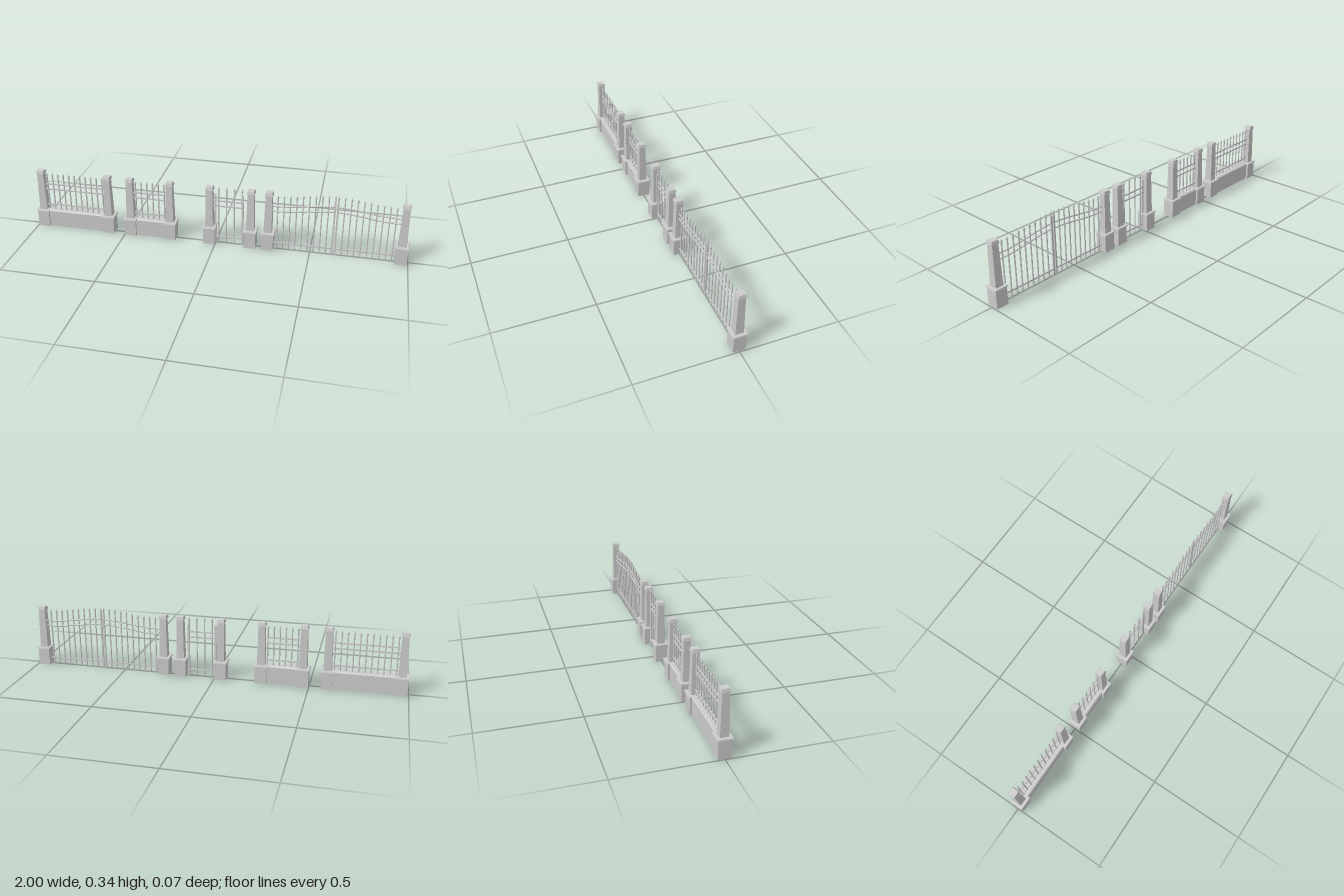
import * as THREE from 'three';

const stone = new THREE.MeshStandardMaterial({ color: 0xcccccc, flatShading: true });
const iron = new THREE.MeshStandardMaterial({ color: 0xcccccc, flatShading: true });

function add(parent, name, geometry, material, x = 0, y = 0, z = 0) {
  const mesh = new THREE.Mesh(geometry, material);
  mesh.name = name;
  mesh.position.set(x, y, z);
  parent.add(mesh);
}

function group(parent, name) {
  const g = new THREE.Group();
  g.name = name;
  parent.add(g);
  return g;
}

// Square block tapering from half width a at y0 to half width b at y1
function taper(parent, name, a, b, y0, y1) {
  const geo = new THREE.CylinderGeometry(b * Math.SQRT2, a * Math.SQRT2, y1 - y0, 4);
  geo.rotateY(Math.PI / 4);
  add(parent, name, geo, stone, 0, (y0 + y1) / 2);
}

// Stone post: plinth, bevelled ledge, tapered shaft and cap
function pillar(parent, x) {
  const g = group(parent, 'pillar');
  g.position.x = x;
  taper(g, 'plinth', 0.031, 0.031, 0, 0.093);
  taper(g, 'ledge', 0.037, 0.035, 0.093, 0.099);
  taper(g, 'shaft', 0.021, 0.017, 0.099, 0.311);
  taper(g, 'cap', 0.0215, 0.0172, 0.311, 0.327);
}

// Round upright with a spear head
function bar(parent, x, bottom, top) {
  const neck = top - 0.014;
  add(parent, 'bar', new THREE.CylinderGeometry(0.0038, 0.0038, neck - bottom, 6), iron, x, (neck + bottom) / 2);
  const spear = [[0, 0], [0.004, 0], [0.0065, 0.004], [0.0015, 0.016], [0, 0.017]].map(p => new THREE.Vector2(...p));
  add(parent, 'spearHead', new THREE.LatheGeometry(spear, 6), iron, x, top - 0.017);
}

function rail(parent, x0, x1, y) {
  add(parent, 'rail', new THREE.BoxGeometry(x1 - x0, 0.007, 0.007), iron, (x0 + x1) / 2, y);
}

function stile(parent, x, top) {
  add(parent, 'stile', new THREE.BoxGeometry(0.009, top, 0.008), iron, x, top / 2);
}

// Two pillars, a low coped wall and iron railings on top
function fence(parent, x0, x1, count) {
  const g = group(parent, 'fencePanel');
  pillar(g, x0);
  pillar(g, x1);
  const mid = (x0 + x1) / 2, length = x1 - x0;
  add(g, 'lowWall', new THREE.BoxGeometry(length - 0.05, 0.093, 0.04), stone, mid, 0.0465);
  const coping = new THREE.Shape([[-0.024, 0], [0.024, 0], [0.019, 0.006], [-0.019, 0.006]].map(p => new THREE.Vector2(...p)));
  const geo = new THREE.ExtrudeGeometry(coping, { depth: length - 0.05, bevelEnabled: false });
  geo.translate(0, 0, -(length - 0.05) / 2).rotateY(Math.PI / 2);
  add(g, 'coping', geo, stone, mid, 0.093);
  for (const y of [0.125, 0.217, 0.247]) rail(g, x0 + 0.014, x1 - 0.014, y);
  const first = x0 + 0.031, step = (length - 0.062) / (count - 1);
  for (let i = 0; i < count; i++) bar(g, first + i * step, 0.095, 0.313);
}

// Single-leaf gate between two pillars
function smallGate(parent, x0, x1) {
  const g = group(parent, 'smallGate');
  pillar(g, x0);
  pillar(g, x1);
  const leaf = group(g, 'gateLeaf');
  for (const y of [0.035, 0.217, 0.247]) rail(leaf, x0 + 0.017, x1 - 0.04, y);
  stile(leaf, x0 + 0.031, 0.29);
  stile(leaf, x1 - 0.042, 0.29);
  for (let i = 0; i < 4; i++) bar(leaf, x0 + 0.048 + i * 0.0413, 0.003, 0.327);
}

// Height gained by the arched rails, t = distance from the gate centre
const rise = t => 0.029 * (0.5 + 0.5 * Math.cos(Math.PI * Math.min(t / 0.3, 1)));

// Double gate with arched rails
function largeGate(parent, x0, x1) {
  const g = group(parent, 'largeGate');
  pillar(g, x0);
  pillar(g, x1);
  const mid = (x0 + x1) / 2, reach = (x1 - x0) / 2 - 0.017;
  for (const side of [-1, 1]) {
    const leaf = group(g, side < 0 ? 'rightGateLeaf' : 'leftGateLeaf');
    leaf.position.x = mid;
    rail(leaf, Math.min(side * 0.007, side * reach), Math.max(side * 0.007, side * reach), 0.035);
    for (const y of [0.219, 0.248]) {
      const points = [];
      for (let i = 0; i <= 10; i++) {
        const t = 0.007 + (reach - 0.007) * i / 10;
        points.push(new THREE.Vector3(side * t, y + rise(t), 0));
      }
      add(leaf, 'archedRail', new THREE.TubeGeometry(new THREE.CatmullRomCurve3(points), 16, 0.004, 6), iron);
    }
    stile(leaf, side * 0.0075, 0.315);
    for (let i = 0; i < 10; i++) {
      const t = 0.008 + i * 0.0321;
      bar(leaf, side * t, 0.003, 0.312 + rise(t));
    }
  }
}

export function createModel() {
  const model = new THREE.Group();
  model.name = 'fenceAndGates';
  fence(model, -0.963, -0.591, 11);
  fence(model, -0.466, -0.248, 6);
  smallGate(model, -0.033, 0.185);
  largeGate(model, 0.278, 0.963);
  return model;
}
